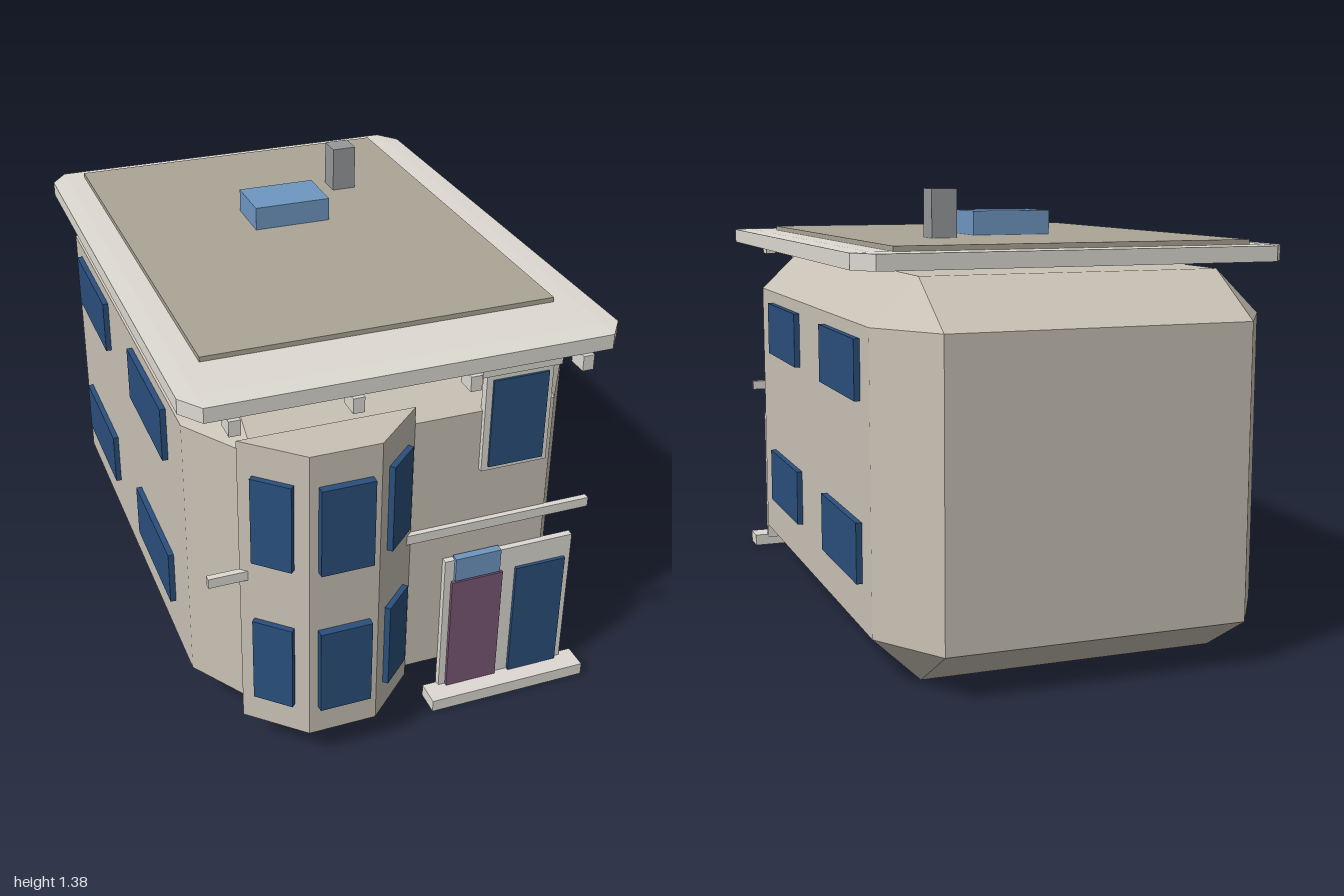
import * as THREE from 'three';
import { ConvexGeometry } from 'three/addons/geometries/ConvexGeometry.js';

const mat = (color) => new THREE.MeshStandardMaterial({ color, flatShading: true });
const WALL = mat(0xc9c1b5), TRIM = mat(0xdedad2), ROOF = mat(0xaaa596), GLASS = mat(0x2a4f7c);
const SKY = mat(0x6f97c2), DOOR = mat(0x7a5876), STACK = mat(0x96989a);

export function createModel() {
  const house = new THREE.Group();
  house.name = 'house';

  const add = (name, geometry, material) => {
    const mesh = new THREE.Mesh(geometry, material);
    mesh.name = name;
    house.add(mesh);
    return mesh;
  };

  // Box given by its limits on each axis
  const box = (name, material, x0, x1, y0, y1, z0, z1) => {
    const mesh = add(name, new THREE.BoxGeometry(x1 - x0, y1 - y0, z1 - z0), material);
    mesh.position.set((x0 + x1) / 2, (y0 + y1) / 2, (z0 + z1) / 2);
    return mesh;
  };

  // Box whose edges are all cut back by a fraction f of each dimension
  const chamferBox = (name, material, f, w, h, d, y, z) => {
    const size = [w, h, d], points = [];
    for (const sx of [-1, 1]) for (const sy of [-1, 1]) for (const sz of [-1, 1]) {
      for (let axis = 0; axis < 3; axis++) {
        const p = [sx, sy, sz].map((s, i) => s * size[i] * (i === axis ? 0.5 : 0.5 - f));
        points.push(new THREE.Vector3(...p));
      }
    }
    add(name, new ConvexGeometry(points), material).position.set(0, y, z);
  };

  // Main body and roof
  chamferBox('body', WALL, 0.118, 1.2, 1.145, 1.83, 0.5725, -0.085);
  chamferBox('roofSlab', TRIM, 0.04, 1.314, 0.05, 1.76, 1.19, 0);
  box('roofPanel', ROOF, -0.545, 0.54, 1.2, 1.23, -0.82, 0.64);
  box('skylight', SKY, -0.128, 0.124, 1.23, 1.305, -0.303, -0.13);
  box('chimney', STACK, 0.229, 0.308, 1.23, 1.376, -0.447, -0.368);

  // Brackets under the eaves
  for (const x of [-0.525, -0.176, 0.172, 0.521]) {
    box('bracket', TRIM, x - 0.017, x + 0.017, 1.12, 1.167, 0.83, 0.893);
  }

  // Bay: trapezoid plan extruded upward
  const bayX = -0.242;
  const plan = new THREE.Shape([[-0.263, -0.83], [0.263, -0.83], [0.105, -0.975], [-0.105, -0.975]]
    .map(([x, z]) => new THREE.Vector2(x, z)).reverse());
  const bayGeometry = new THREE.ExtrudeGeometry(plan, { depth: 0.965, bevelEnabled: false });
  bayGeometry.rotateX(-Math.PI / 2);
  add('bay', bayGeometry, WALL).position.set(bayX, 0.1, 0);

  // Bay windows, two storeys with one pane per face
  const slant = Math.atan2(0.145, 0.158);
  for (const [y0, y1] of [[0.2, 0.48], [0.685, 0.965]]) {
    box('bayFrontWindow', GLASS, bayX - 0.079, bayX + 0.079, y0, y1, 0.96, 1);
    for (const side of [-1, 1]) {
      const pane = add('baySideWindow', new THREE.BoxGeometry(0.124, y1 - y0, 0.025), GLASS);
      pane.position.set(bayX + side * 0.188, (y0 + y1) / 2, 0.906);
      pane.rotation.y = side * slant;
    }
  }

  // Floor band across the front
  box('floorBand', TRIM, -0.602, 0.6, 0.609, 0.64, 0.828, 0.848);

  // Upper front window with frame and cap
  box('upperWindowFrame', TRIM, 0.229, 0.439, 0.815, 1.14, 0.82, 0.846);
  box('upperWindowCap', TRIM, 0.21, 0.46, 1.133, 1.163, 0.82, 0.856);
  box('upperWindow', GLASS, 0.249, 0.423, 0.829, 1.115, 0.83, 0.853);

  // Entrance
  box('entranceSurround', TRIM, 0.13, 0.556, 0.03, 0.516, 0.828, 0.85);
  box('door', DOOR, 0.152, 0.321, 0.04, 0.44, 0.835, 0.861);
  box('entranceWindow', GLASS, 0.367, 0.534, 0.04, 0.44, 0.835, 0.861);
  box('transom', SKY, 0.161, 0.31, 0.445, 0.525, 0.835, 0.861);
  box('doorStep', TRIM, 0.083, 0.603, 0, 0.04, 0.835, 0.915);

  // Side windows, mirrored
  for (const side of [-1, 1]) {
    for (const [y0, y1] of [[0.27, 0.448], [0.795, 0.97]]) {
      for (const [z0, z1] of [[-0.69, -0.288], [0.043, 0.445]]) {
        const pane = box('sideWindow', GLASS, 0.59, 0.618, y0, y1, z0, z1);
        pane.position.x *= side;
      }
    }
  }

  return house;
}
